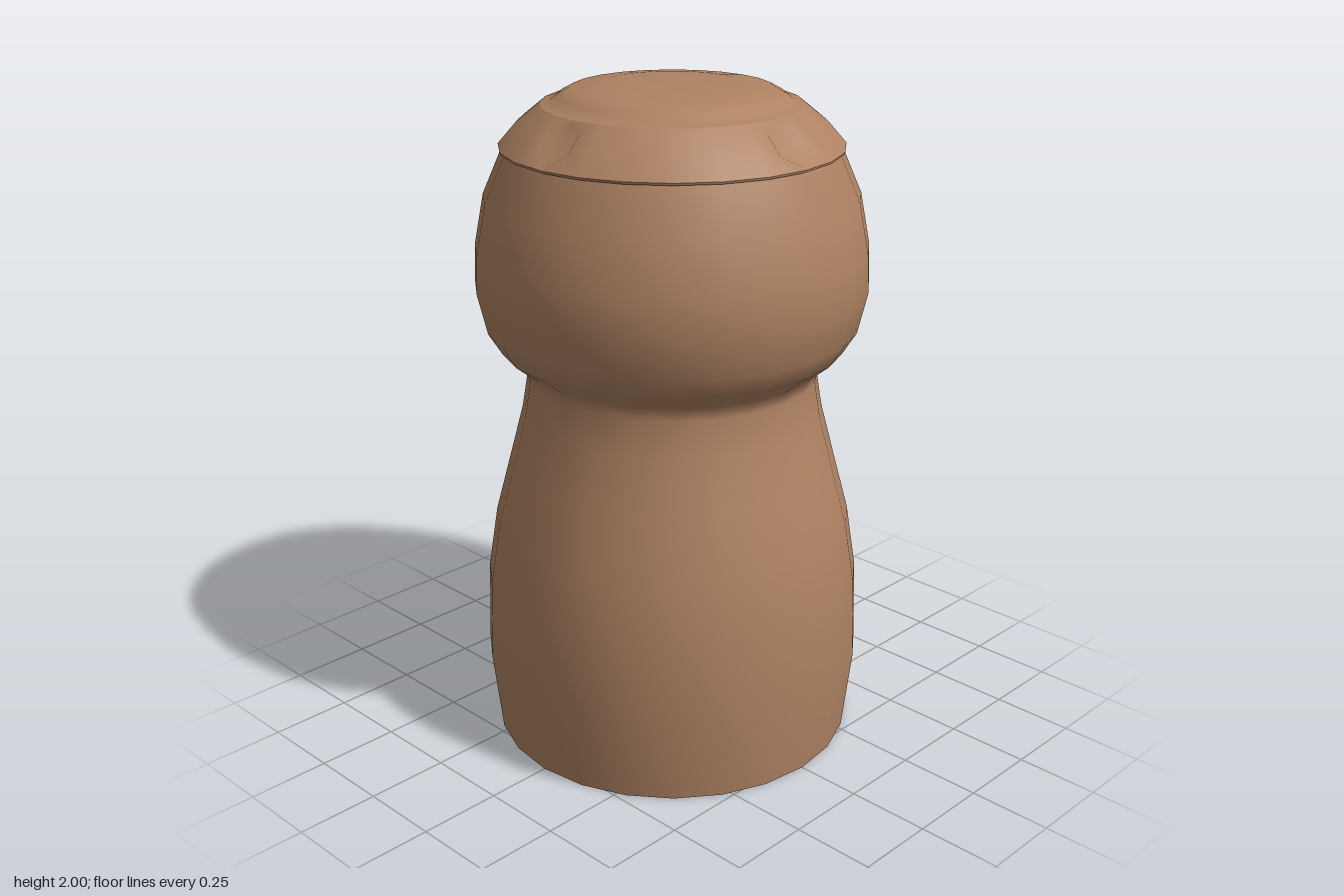
import * as THREE from 'three';
import { mergeGeometries, mergeVertices } from 'three/addons/utils/BufferGeometryUtils.js';

const SIDES = 24;
const STEP = (Math.PI * 2) / SIDES;
const points = (list) => list.map(([r, y]) => new THREE.Vector2(r, y));

// Sloping band of the cap: lower edge, middle, upper edge
const BAND = points([[0.497, 1.825], [0.442, 1.888], [0.375, 1.942]]);

// Point on the faceted band, u = -1..1 over two sides around angle phi, v = 0..1 upward
function bandPoint(phi, u, v) {
  const k = v < 0.5 ? 0 : 1;
  const p = BAND[k].clone().lerp(BAND[k + 1], v * 2 - k);
  const at = (a) => new THREE.Vector3(p.x * Math.sin(a), p.y, p.x * Math.cos(a));
  return at(phi).lerp(at(phi + Math.sign(u) * STEP), Math.abs(u));
}

// Two sides of the band with a pointed six-sided dent pressed in
function dentPatch(phi) {
  const border = [[0, 0], [1, 0], [1, 0.5], [1, 1], [0, 1], [-1, 1], [-1, 0.5], [-1, 0]];
  const rim = [[0, 0.05], [0.47, 0.3], [0.49, 0.5], [0.47, 0.74], [0, 0.96], [-0.47, 0.74], [-0.49, 0.5], [-0.47, 0.3]];
  const verts = [...border, ...rim].map(([u, v]) => bandPoint(phi, u, v));
  const inward = new THREE.Vector3(-0.7 * Math.sin(phi), -0.7, -0.7 * Math.cos(phi));
  verts.push(bandPoint(phi, 0, 0.5).addScaledVector(inward, 0.04));
  const index = [];
  for (let i = 0; i < 8; i++) {
    const j = (i + 1) % 8;
    index.push(i, j, 8 + j, i, 8 + j, 8 + i, 8 + i, 8 + j, 16);
  }
  return new THREE.BufferGeometry().setFromPoints(verts).setIndex(index);
}

// Whole band: plain quarters between four dents, joined smoothly
function bandGeometry() {
  const parts = [];
  for (let q = 0; q < 4; q++) {
    const phi = (q * Math.PI) / 2;
    const plain = new THREE.LatheGeometry(BAND, 4, phi + STEP, STEP * 4);
    plain.deleteAttribute('uv');
    plain.deleteAttribute('normal');
    parts.push(plain, dentPatch(phi));
  }
  const geometry = mergeVertices(mergeGeometries(parts), 1e-4);
  geometry.computeVertexNormals();
  return geometry;
}

export function createModel() {
  const group = new THREE.Group();
  group.name = 'bottleCork';
  const cork = new THREE.MeshStandardMaterial({ color: 0xae8262, side: THREE.DoubleSide });
  cork.name = 'cork brown';

  const add = (name, geometry) => {
    const mesh = new THREE.Mesh(geometry, cork);
    mesh.name = name;
    group.add(mesh);
  };
  const turned = (list) => new THREE.LatheGeometry(points(list), SIDES);

  // Flared stem, narrow neck and bulging head, open underneath
  add('body', turned([
    [0.55, 0], [0.578, 0.25], [0.57, 0.5], [0.54, 0.69], [0.492, 0.87], [0.45, 1.03],
    [0.432, 1.14], [0.442, 1.18], [0.51, 1.235], [0.55, 1.3], [0.578, 1.42],
    [0.574, 1.53], [0.545, 1.68], [0.484, 1.82],
  ]));

  // Thin overhanging lip under the cap
  add('capUnderside', turned([[0.478, 1.818], [0.495, 1.818]]));
  add('capEdge', turned([[0.495, 1.818], [0.497, 1.825]]));
  add('capBand', bandGeometry());

  // Raised rounded crown
  add('crown', turned([
    [0.375, 1.942], [0.345, 1.949], [0.325, 1.965], [0.29, 1.984],
    [0.2, 1.995], [0.1, 1.999], [0, 2],
  ]));
  return group;
}
